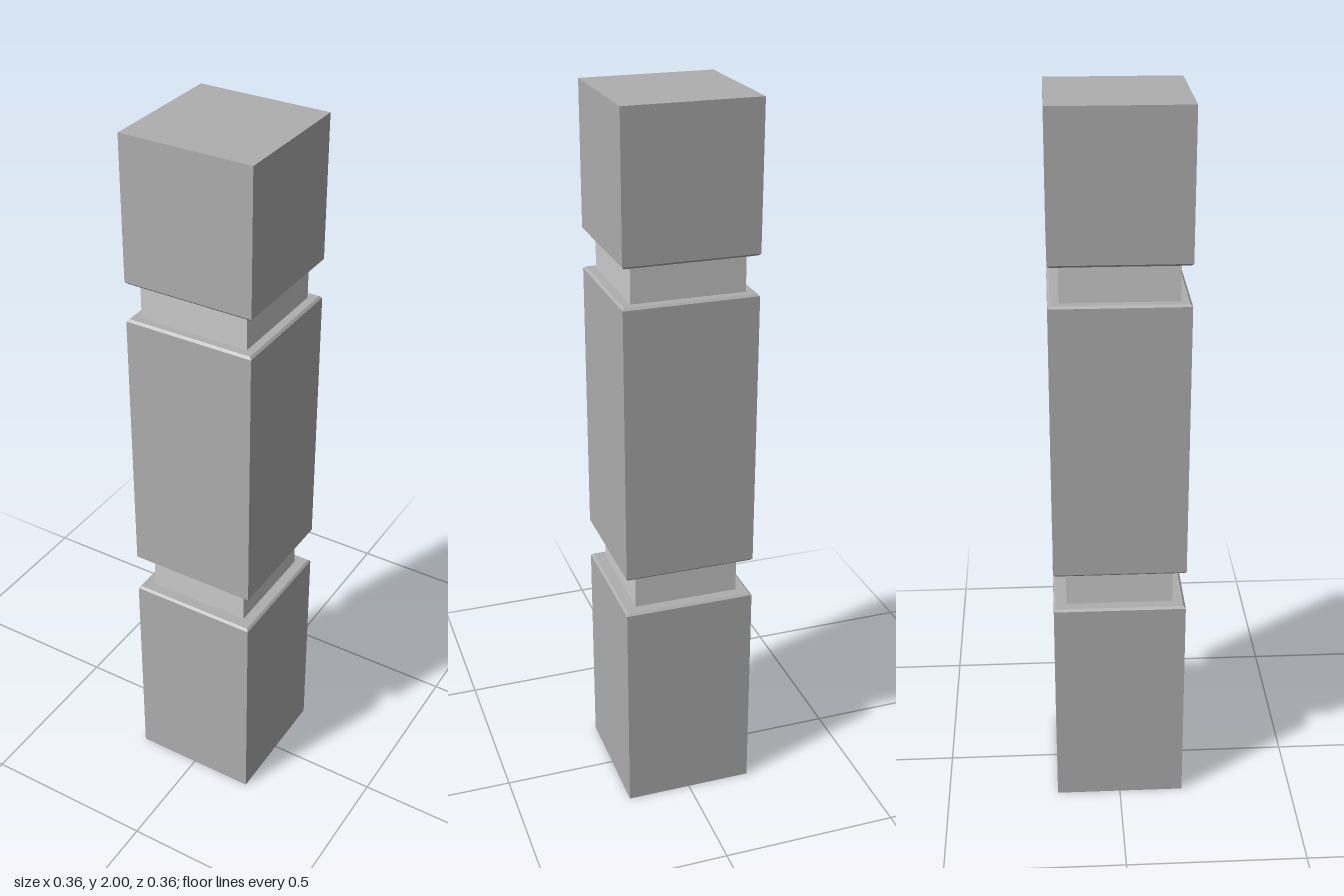
import * as THREE from 'three';

const HALF = 0.182;   // half width of the main blocks
const BEVEL = 0.006;  // small chamfer beside each groove

// Square solid of revolution: profile of [half width, height], four flat sides
function squareLathe(name, profile, material) {
  const points = profile.map(([half, y]) => new THREE.Vector2(half * Math.SQRT2, y));
  const mesh = new THREE.Mesh(new THREE.LatheGeometry(points, 4, Math.PI / 4), material);
  mesh.name = name;
  return mesh;
}

// Block with chamfered edges only where it meets a groove
function block(name, bottom, top, bevelBottom, bevelTop, material) {
  const profile = [[0, bottom]];
  if (bevelBottom) profile.push([HALF - BEVEL, bottom], [HALF, bottom + BEVEL]);
  else profile.push([HALF, bottom]);
  if (bevelTop) profile.push([HALF, top - BEVEL], [HALF - BEVEL, top]);
  else profile.push([HALF, top]);
  profile.push([0, top]);
  return squareLathe(name, profile, material);
}

export function createModel() {
  const group = new THREE.Group();
  group.name = 'post';
  const blockMaterial = new THREE.MeshStandardMaterial({ color: 0xaeaeae, flatShading: true });
  const neckMaterial = new THREE.MeshStandardMaterial({ color: 0xcccccc, flatShading: true });

  // Three stacked blocks
  group.add(
    block('lowerBlock', 0, 0.625, false, true, blockMaterial),
    block('middleBlock', 0.73, 1.505, true, true, blockMaterial),
    block('upperBlock', 1.605, 2, true, false, blockMaterial)
  );

  // Recessed necks joining the blocks
  group.add(
    squareLathe('lowerNeck', [[0.147, 0.625], [0.147, 0.73]], neckMaterial),
    squareLathe('upperNeck', [[0.154, 1.505], [0.154, 1.605]], neckMaterial)
  );
  return group;
}
